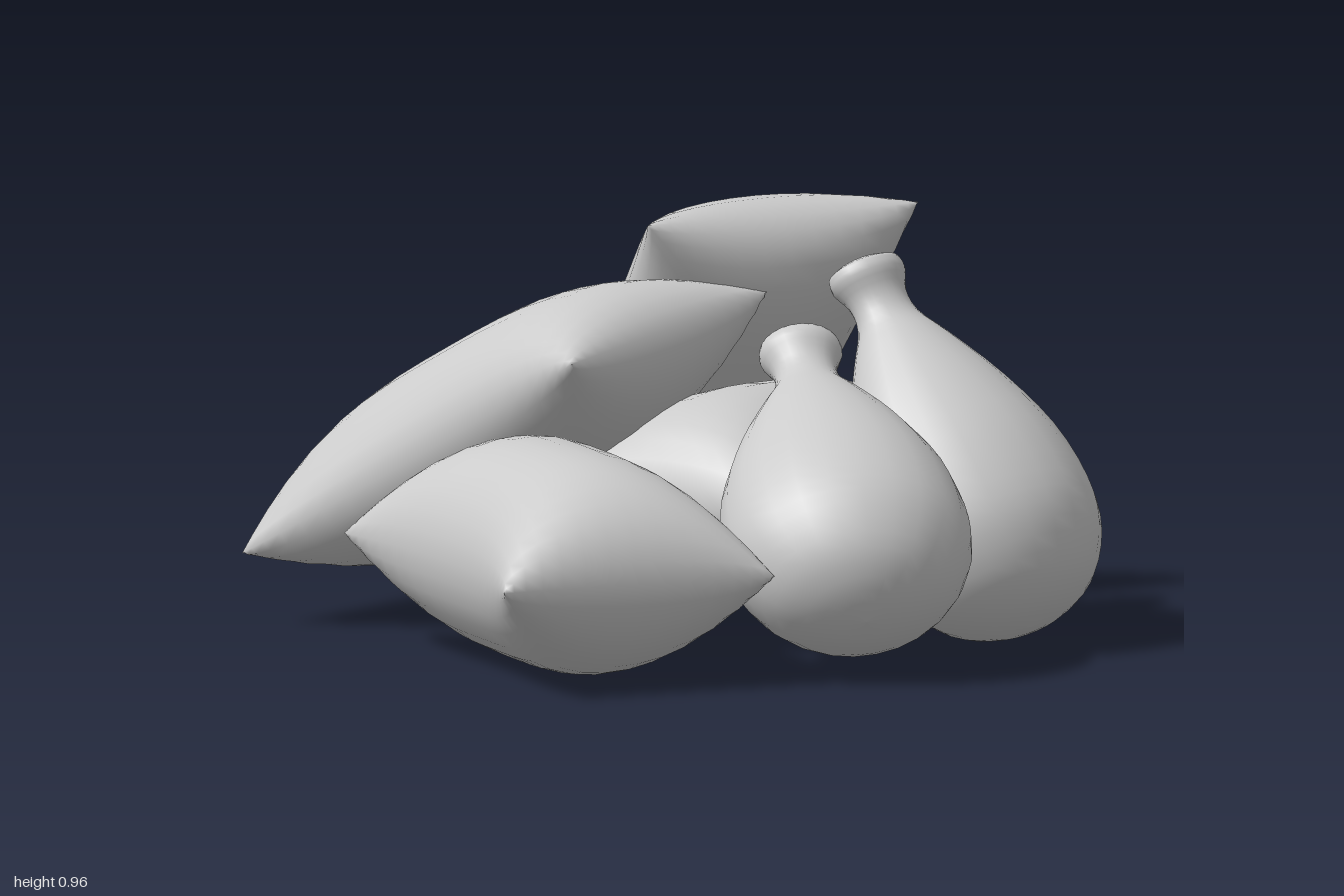
import * as THREE from 'three';
import { mergeGeometries, mergeVertices } from 'three/addons/utils/BufferGeometryUtils.js';

const material = new THREE.MeshStandardMaterial({ color: 0xcccccc, side: THREE.DoubleSide });

// One bulging sheet of a flat sack; side -1 gives the mirrored underside.
function sheet(halfLength, halfWidth, thickness, side) {
  const geo = new THREE.PlaneGeometry(2, 2, 20, 16);
  geo.deleteAttribute('uv');
  geo.deleteAttribute('normal');
  const pos = geo.attributes.position;
  for (let i = 0; i < pos.count; i++) {
    const u = Math.sin(pos.getX(i) * Math.PI / 2);
    const v = Math.sin(pos.getY(i) * Math.PI / 2);
    const bulge = Math.pow(Math.max(0, 1 - Math.abs(u) ** 3.2), 0.5) * Math.pow(Math.max(0, 1 - v * v), 0.5);
    // seams pull inwards between the pointed corners
    const x = u * halfLength * (1 - 0.015 * (1 - v * v));
    const y = v * halfWidth * (1 - 0.18 * (1 - u * u));
    pos.setXYZ(i, side * x, y, side * bulge * thickness);
  }
  return geo;
}

// Flat sack given by its centre and the half vectors along its length and width.
function flatSack(name, centre, along, across, thickness) {
  const a = new THREE.Vector3(...along), b = new THREE.Vector3(...across);
  const sheets = [1, -1].map(s => sheet(a.length(), b.length(), thickness, s));
  const geo = mergeVertices(mergeGeometries(sheets), 1e-4); // smooth, rounded seams
  geo.computeVertexNormals();
  const x = a.clone().normalize();
  const z = a.clone().cross(b).normalize();
  const y = z.clone().cross(x);
  geo.applyMatrix4(new THREE.Matrix4().makeBasis(x, y, z).setPosition(...centre));
  const mesh = new THREE.Mesh(geo, material);
  mesh.name = name;
  return mesh;
}

// Tied sack: a pear-shaped lathe with a flared neck, lying flattened along belly to neck end.
function tiedSack(name, belly, neckEnd) {
  const curve = new THREE.SplineCurve([
    [0, -0.28], [0.1, -0.265], [0.2, -0.21], [0.268, -0.11], [0.288, 0], [0.268, 0.15],
    [0.205, 0.31], [0.128, 0.45], [0.08, 0.53], [0.075, 0.59], [0.096, 0.64], [0.092, 0.67],
  ].map(p => new THREE.Vector2(...p)));
  const profile = curve.getPoints(33);
  profile[0].x = 0;
  profile.push(new THREE.Vector2(0.07, 0.68), new THREE.Vector2(0, 0.68));
  const mesh = new THREE.Mesh(new THREE.LatheGeometry(profile, 24), material);
  const from = new THREE.Vector3(...belly);
  const axis = new THREE.Vector3(...neckEnd).sub(from).normalize();
  // level width direction, and the thin direction square to it
  const width = new THREE.Vector3(0, 1, 0).cross(axis).normalize();
  const thin = width.clone().cross(axis);
  mesh.quaternion.setFromRotationMatrix(new THREE.Matrix4().makeBasis(width, axis, thin));
  mesh.scale.z = 0.84;
  mesh.position.copy(from);
  mesh.name = name;
  return mesh;
}

export function createModel() {
  const group = new THREE.Group();
  group.name = 'sackPile';
  group.add(
    // flat sacks, from the ground up
    flatSack('frontFlatSack', [0.04, 0.257, 0.45], [0.423, 0.003, 0.26], [-0.17, 0, 0.287], 0.257),
    flatSack('middleFlatSack', [0.11, 0.32, -0.305], [0.005, 0.03, 0.487], [0.325, 0, -0.008], 0.25),
    flatSack('leaningFlatSack', [-0.425, 0.467, 0.037], [0.475, 0.265, 0.005], [0.01, -0.035, 0.393], 0.215),
    flatSack('backFlatSack', [-0.263, 0.565, -0.551], [0.287, 0.37, 0.123], [0.138, -0.005, -0.33], 0.2),
    // tied sacks
    tiedSack('frontTiedSack', [0.63, 0.305, 0.14], [0.21, 0.665, -0.24]),
    tiedSack('backTiedSack', [0.63, 0.285, -0.375], [0.24, 0.82, -0.45]),
  );
  return group;
}
